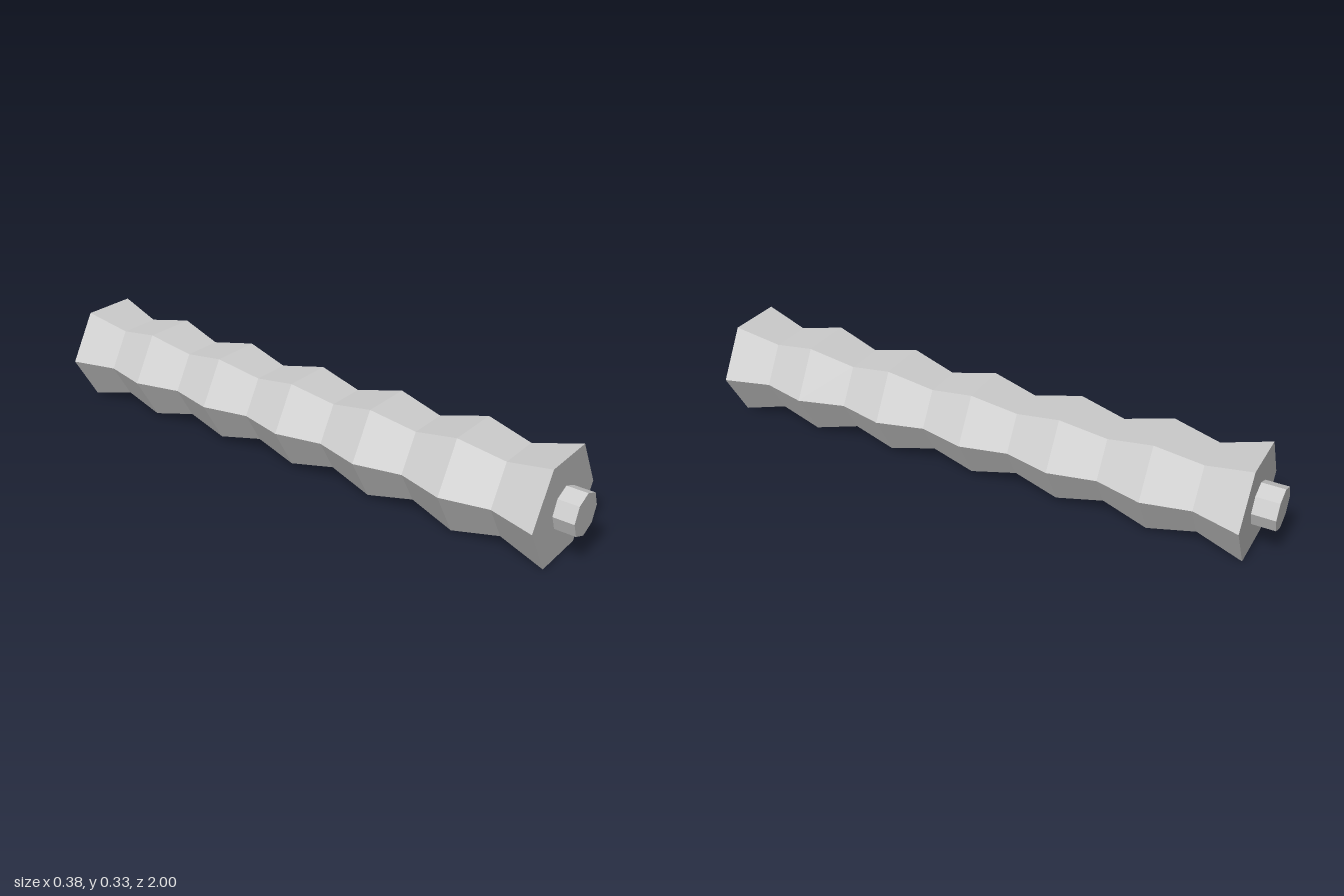
import * as THREE from 'three';

export function createModel() {
  const group = new THREE.Group();
  const grey = new THREE.MeshStandardMaterial({ color: 0xcccccc, flatShading: true });
  grey.name = 'light grey';
  const centerY = 0.165;

  // Ridged hexagonal roller: ring radii from back to front, slightly waisted
  const radii = [0.185, 0.140, 0.175, 0.133, 0.168, 0.130, 0.167, 0.131, 0.173, 0.136, 0.181, 0.144, 0.189];
  const back = -0.925, front = 0.932;
  const profile = radii.map((r, i) =>
    new THREE.Vector2(r, THREE.MathUtils.lerp(back, front, i / (radii.length - 1))));
  profile.unshift(new THREE.Vector2(0, back));
  profile.push(new THREE.Vector2(0, front));
  const rollerGeometry = new THREE.LatheGeometry(profile, 6, Math.PI / 2);
  rollerGeometry.rotateX(Math.PI / 2);
  const roller = new THREE.Mesh(rollerGeometry, grey);
  roller.name = 'roller';
  roller.position.y = centerY;
  group.add(roller);

  // Octagonal axle stubs at both ends
  const addStub = (name, z0, z1) => {
    const geometry = new THREE.CylinderGeometry(0.07, 0.07, z1 - z0, 8);
    geometry.rotateX(Math.PI / 2);
    const stub = new THREE.Mesh(geometry, grey);
    stub.name = name;
    stub.position.set(0, centerY, (z0 + z1) / 2);
    group.add(stub);
  };
  addStub('frontAxle', front - 0.02, 1);
  addStub('backAxle', -1, back + 0.02);

  return group;
}
